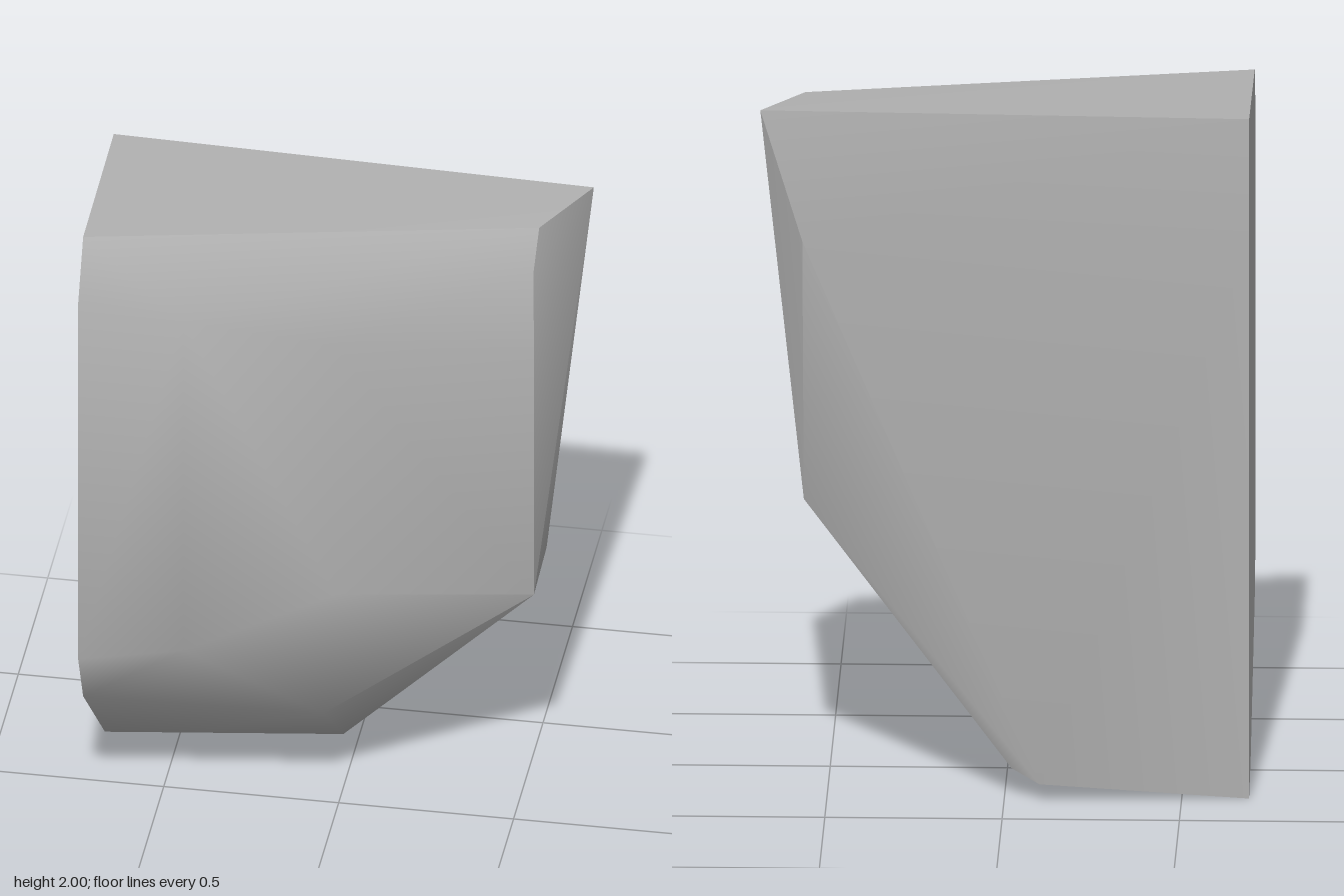
import * as THREE from 'three';
import { ConvexGeometry } from 'three/addons/geometries/ConvexGeometry.js';
import { toCreasedNormals } from 'three/addons/utils/BufferGeometryUtils.js';

export function createModel() {
  const group = new THREE.Group();
  group.name = 'armorShell';
  const grey = new THREE.MeshStandardMaterial({ color: 0xb0b0b0 });
  grey.name = 'plainGrey';

  // Flat left side: [y, z] outline at x = -0.69
  const side = [
    [2, -0.28], [1.99, 0.24], [1.82, 0.325], [0.62, 0.325],
    [0.44, 0.24], [0.08, -0.13], [0, -0.28], [1.63, -0.29],
  ].map(([y, z]) => [-0.69, y, z]);

  // Bowed front, top and bottom of each bend
  const front = [
    [-0.39, 1.79, 0.322], [-0.39, 0.68, 0.322],
    [0.03, 1.7, 0.238], [0.03, 0.86, 0.238],
  ];

  // Narrow right side, flaring to the upper back corner
  const right = [
    [0.69, 2, -0.235], [0.57, 1.99, -0.02], [0.562, 1.87, 0.03],
    [0.57, 1.63, 0.07], [0.57, 0.81, 0.07], [0.57, 0.83, -0.145],
    [0.57, 1.63, -0.285],
  ];

  // Tapered lower edge
  const bottom = [
    [-0.1, 0.05, -0.325], [-0.02, 0.085, -0.285],
    [-0.01, 0.14, -0.14], [-0.03, 0.35, 0.08], [-0.45, 0.13, -0.09],
  ];

  const points = [...side, ...front, ...right, ...bottom]
    .map((p) => new THREE.Vector3(...p));
  const shell = new THREE.Mesh(
    toCreasedNormals(new ConvexGeometry(points), THREE.MathUtils.degToRad(40)),
    grey,
  );
  shell.name = 'shell';
  group.add(shell);
  return group;
}
